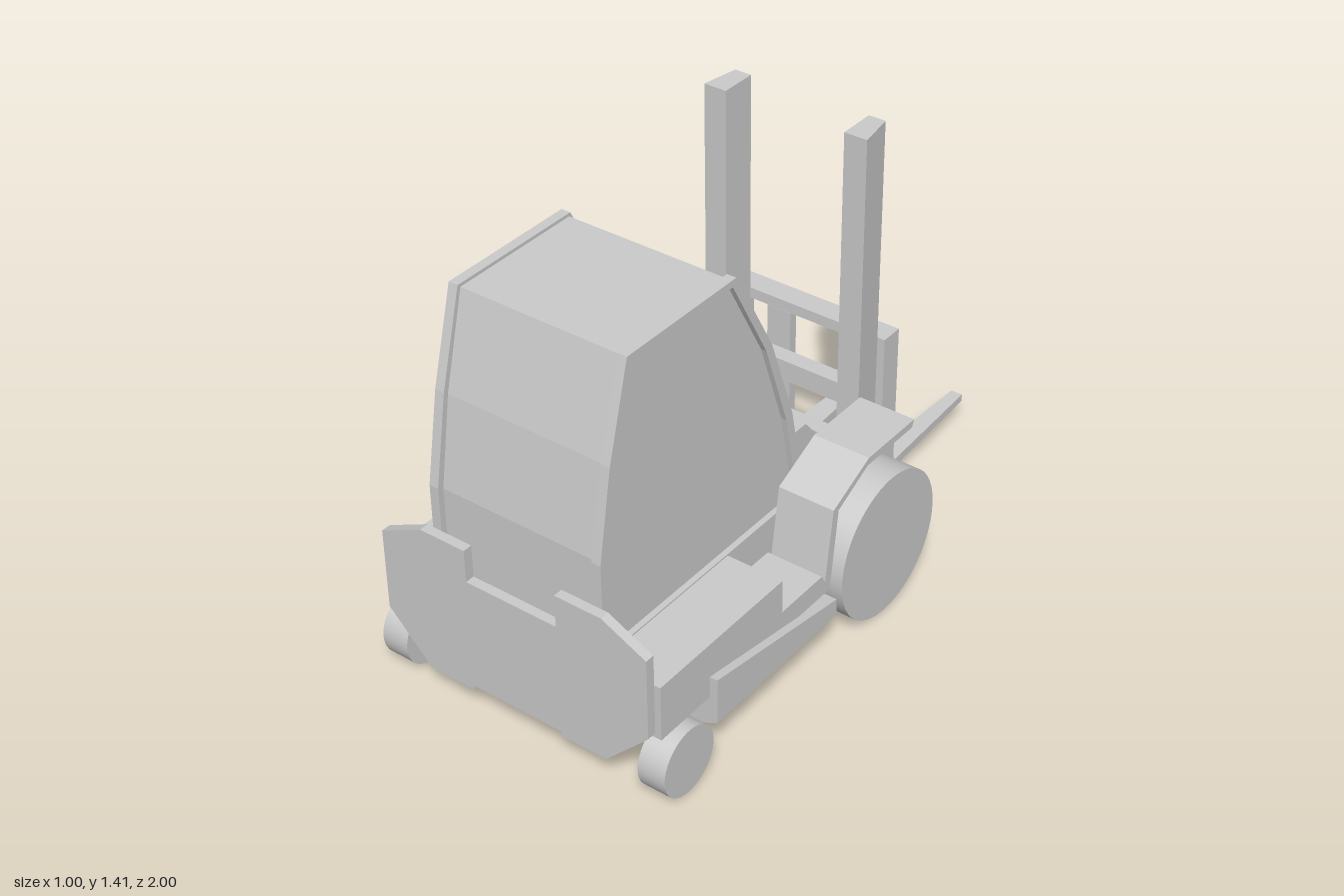
import * as THREE from 'three';

const material = new THREE.MeshStandardMaterial({ color: 0xcccccc, flatShading: true });
const smooth = new THREE.MeshStandardMaterial({ color: 0xcccccc });

const toShape = pts => new THREE.Shape(pts.map(([a, b]) => new THREE.Vector2(a, b)));

export function createModel() {
  const model = new THREE.Group();

  const add = (name, geometry, mat = material) => {
    const mesh = new THREE.Mesh(geometry, mat);
    mesh.name = name;
    model.add(mesh);
    return mesh;
  };

  // Box given by its extents on each axis
  const box = (name, [x0, x1], [y0, y1], [z0, z1]) => {
    const g = new THREE.BoxGeometry(x1 - x0, y1 - y0, z1 - z0);
    g.translate((x0 + x1) / 2, (y0 + y1) / 2, (z0 + z1) / 2);
    return add(name, g);
  };

  // Side profile of [z, y] points, extruded across x
  const side = (name, pts, x0, x1, hole) => {
    const shape = toShape(pts);
    if (hole) shape.holes.push(new THREE.Path(hole.map(([a, b]) => new THREE.Vector2(a, b))));
    const g = new THREE.ExtrudeGeometry(shape, { depth: x1 - x0, bevelEnabled: false });
    g.rotateY(-Math.PI / 2).translate(x1, 0, 0);
    return add(name, g);
  };

  // Front profile of [x, y] points, extruded along z
  const front = (name, pts, z0, z1) => {
    const g = new THREE.ExtrudeGeometry(toShape(pts), { depth: z1 - z0, bevelEnabled: false });
    g.translate(0, 0, z0);
    return add(name, g);
  };

  const wheel = (name, x0, x1, r, z) => {
    const g = new THREE.CylinderGeometry(r, r, x1 - x0, 56);
    g.rotateZ(Math.PI / 2).translate((x0 + x1) / 2, r, z);
    return add(name, g, smooth);
  };

  // Chassis and stepped body
  side('body', [[0.97, 0.23], [0.97, 0.41], [0.43, 0.41], [0.43, 0.3], [0.24, 0.3], [0.2, 0.23]], -0.475, 0.475);
  box('bodyCentre', [-0.29, 0.29], [0.2, 0.41], [0.07, 0.97]);
  box('rearChassis', [-0.31, 0.31], [0.115, 0.24], [0.7, 0.97]);

  // Side skirts: bevelled section whose top rises toward the counterweight
  const skirt = front('skirt', [[-0.43, 0.115], [0.43, 0.115], [0.5, 0.15], [0.5, 0.205],
    [-0.5, 0.205], [-0.5, 0.15]], 0.2, 0.76);
  const p = skirt.geometry.attributes.position;
  for (let i = 0; i < p.count; i++) {
    if (p.getY(i) > 0.2 && p.getZ(i) > 0.5) p.setY(i, 0.3);
  }
  skirt.geometry.computeVertexNormals();

  // Counterweight plate
  const half = [[0.155, 0.11], [0.155, 0.095], [0.31, 0.095], [0.455, 0.245],
    [0.455, 0.51], [0.31, 0.58], [0.155, 0.58], [0.155, 0.475]];
  front('counterweight', [...half, ...half.map(([x, y]) => [-x, y]).reverse()], 0.97, 1);

  // Cab with raised side frames
  const outer = [[0.97, 0.41], [0.97, 0.72], [0.92, 1], [0.84, 1.29], [0.39, 1.29], [0.23, 1], [0.13, 0.72], [0.07, 0.41]];
  const inner = [[0.94, 0.41], [0.94, 0.71], [0.895, 0.99], [0.82, 1.268], [0.405, 1.268], [0.255, 0.99], [0.158, 0.71], [0.1, 0.41]];
  const opening = inner.map(([z, y], i) => [z, i === 0 || i === 7 ? 0.415 : y]);
  const cab = inner.map(([z, y]) => [z + (z > 0.5 ? 0.01 : -0.01), y > 1.2 ? 1.28 : y]);
  side('cab', cab, -0.272, 0.272);
  for (const s of [-1, 1]) {
    side('cabFrame', outer, s > 0 ? 0.26 : -0.29, s > 0 ? 0.29 : -0.26, opening);
  }

  // Sloping front cowl
  side('frontCowl', [[0.12, 0.605 - 0.15], [0.07, 0.605], [0.02, 0.605], [-0.21, 0.33], [-0.21, 0.25], [0.12, 0.25]], -0.26, 0.26);

  // Axle
  const axle = new THREE.CylinderGeometry(0.04, 0.04, 0.6, 20);
  axle.rotateZ(Math.PI / 2).translate(0, 0.235, -0.06);
  add('frontAxle', axle, smooth);

  const fender = [[0.23, 0.23], [0.19, 0.5], [0.02, 0.58], [-0.21, 0.58], [-0.2, 0.557],
    [0.025, 0.557], [0.165, 0.487], [0.2, 0.23]];

  for (const s of [-1, 1]) {
    // Mirrored span on x
    const span = (a, b) => (s > 0 ? [a, b] : [-b, -a]);

    wheel('frontWheel', ...span(0.29, 0.5), 0.235, -0.06);
    wheel('rearWheel', ...span(0.41, 0.5), 0.107, 0.885);
    side('fender', fender, ...span(0.29, 0.475));
    box('rearBlock', span(0.29, 0.385), [0.41, 0.46], [0.92, 0.97]);

    // Mast upright with a tapered section
    const section = [[0.2, 0.345], [0.255, 0.345], [0.275, 0.225], [0.2, 0.225]].map(([x, z]) => [s * x, z]);
    const mast = new THREE.ExtrudeGeometry(toShape(section), { depth: 1.215, bevelEnabled: false });
    mast.rotateX(-Math.PI / 2).translate(0, 0.195, 0);
    add('mastUpright', mast);

    // Carriage post
    box('carriagePost', span(0.24, 0.28), [0.19, 0.67], [-0.42, -0.345]);

    // Fork: upright shank and tapering blade
    box('forkShank', span(0.105, 0.19), [0.065, 0.605], [-0.45, -0.42]);
    const blade = side('forkBlade', [[-0.44, 0.06], [-0.44, 0.09], [-1, 0.095], [-1, 0.07]], ...span(0.105, 0.19));
    const q = blade.geometry.attributes.position;
    for (let i = 0; i < q.count; i++) {
      if (q.getZ(i) < -0.9) q.setX(i, s * 0.1475 + (q.getX(i) - s * 0.1475) * 0.47);
    }
    blade.geometry.computeVertexNormals();
  }

  // Carriage cross bars
  box('carriageTop', [-0.28, 0.28], [0.665, 0.7], [-0.42, -0.345]);
  for (const y of [0.19, 0.4]) box('carriageRail', [-0.24, 0.24], [y, y + 0.07], [-0.42, -0.365]);

  return model;
}
